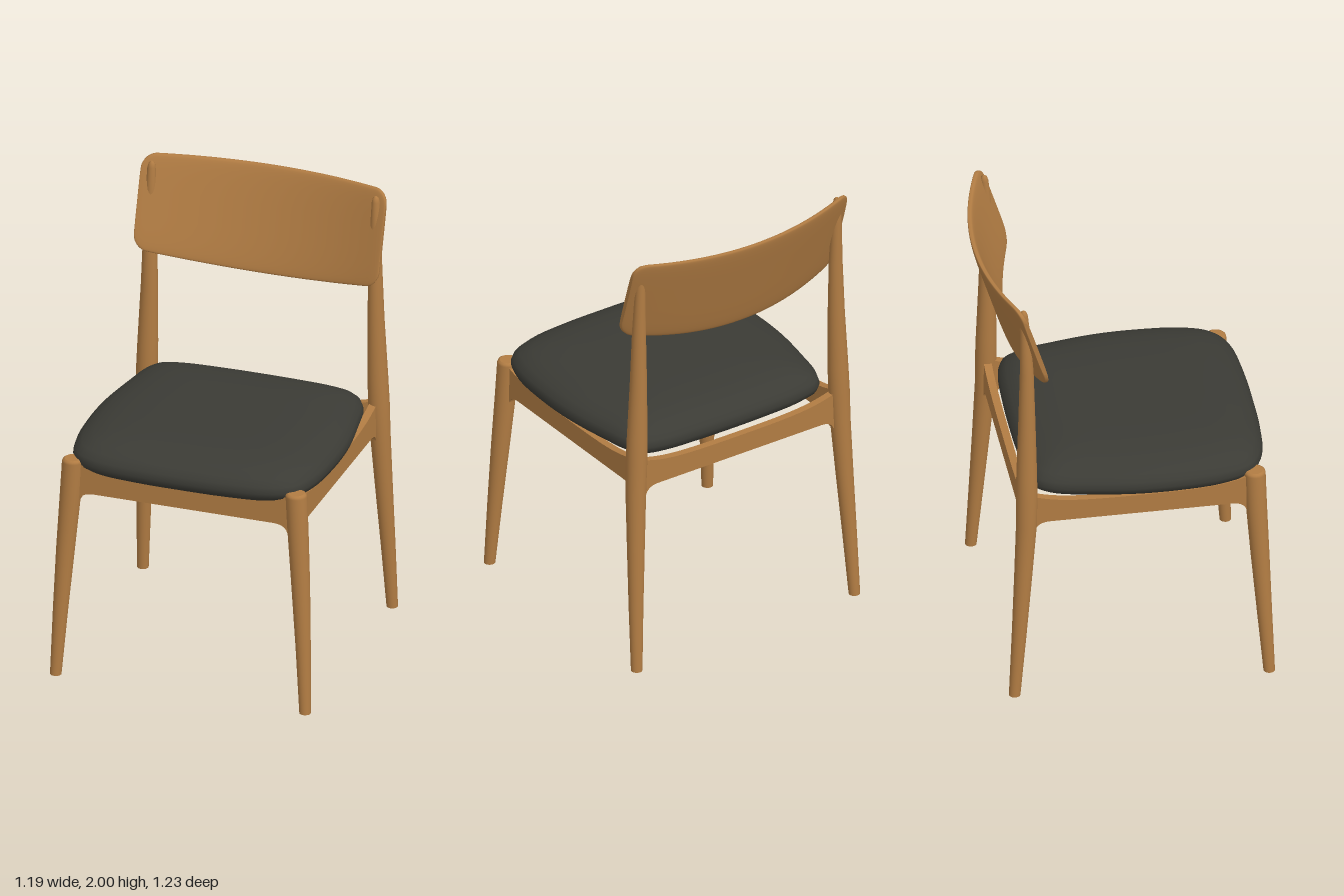
import * as THREE from 'three';

// Skin a list of closed rings (arrays of Vector3) and cap both ends.
function loft(rings) {
  const n = rings[0].length, pos = [], idx = [];
  rings.forEach(r => r.forEach(p => pos.push(p.x, p.y, p.z)));
  for (let i = 0; i < rings.length - 1; i++) {
    for (let j = 0; j < n; j++) {
      const k = (j + 1) % n, a = i * n + j, b = a + n, c = i * n + k, d = c + n;
      idx.push(a, b, c, c, b, d);
    }
  }
  [rings[0], rings[rings.length - 1]].forEach((ring, end) => {
    const base = pos.length / 3;
    const mid = ring.reduce((s, p) => s.add(p), new THREE.Vector3()).divideScalar(n);
    [mid, ...ring].forEach(p => pos.push(p.x, p.y, p.z));
    for (let j = 0; j < n; j++) {
      const p = base + 1 + j, q = base + 1 + (j + 1) % n;
      if (end) idx.push(base, q, p); else idx.push(base, p, q);
    }
  });
  const g = new THREE.BufferGeometry();
  g.setAttribute('position', new THREE.Float32BufferAttribute(pos, 3));
  g.setIndex(idx);
  g.computeVertexNormals();
  return g;
}

// Round tapered leg through stations [x, y, z, radius].
function legGeometry(stations, side) {
  return loft(stations.map(([x, y, z, r]) => Array.from({ length: 24 }, (_, j) => {
    const t = j / 24 * Math.PI * 2;
    return new THREE.Vector3(side * x + r * Math.cos(t), y, z + r * Math.sin(t));
  })));
}

// Rail with a dished top edge and flared lower corners, running along x.
function railGeometry(length, depth) {
  const h = length / 2, f = h - 0.1, s = new THREE.Shape();
  s.moveTo(-h, 0.83);
  s.lineTo(-h + 0.04, 0.83);
  s.quadraticCurveTo(-h + 0.05, 0.865, -f, 0.867);
  s.lineTo(f, 0.867);
  s.quadraticCurveTo(h - 0.05, 0.865, h - 0.04, 0.83);
  s.lineTo(h, 0.83);
  s.lineTo(h, 1.0);
  s.lineTo(h - 0.04, 1.0);
  s.bezierCurveTo(h - 0.15, 0.965, h - 0.25, 0.96, 0, 0.96);
  s.bezierCurveTo(-h + 0.25, 0.96, -h + 0.15, 0.965, -h + 0.04, 1.0);
  s.lineTo(-h, 1.0);
  const g = new THREE.ExtrudeGeometry(s, { depth, bevelEnabled: false, curveSegments: 10 });
  return g.translate(0, 0, -depth / 2);
}

// Curved, leaning panel with rounded corners, built in sections along x.
function backrestGeometry() {
  const xs = [];
  for (let i = 0; i <= 24; i++) xs.push([-0.5 + i / 24, 0]);
  for (let i = 1; i <= 8; i++) {
    const a = i / 8 * Math.PI / 2, x = 0.5 + 0.06 * Math.sin(a), cut = 0.06 * (1 - Math.cos(a));
    xs.push([x, cut]);
    xs.unshift([-x, cut]);
  }
  const soft = (v, e) => Math.sign(v) * Math.pow(Math.abs(v), e);
  return loft(xs.map(([x, cut]) => {
    const u = (x / 0.56) ** 2;
    const top = 1.98 + 0.021 * u - cut, bottom = 1.53 + 0.07 * u + cut;
    const half = 0.016 - cut * 0.1;
    return Array.from({ length: 40 }, (_, j) => {
      const t = (j + 0.5) / 40 * Math.PI * 2;
      const y = (top + bottom) / 2 + (top - bottom) / 2 * soft(Math.cos(t), 0.5);
      const z = -0.466 - 0.31 * (y - 1.53) + 0.12 * u - half * soft(Math.sin(t), 0.4);
      return new THREE.Vector3(x, y, z);
    });
  }));
}

// Padded seat: rounded outline scaled through a soft edge profile.
function seatGeometry() {
  const rightSide = [[0.2, 0.61], [0.4, 0.585], [0.5, 0.53], [0.55, 0.41], [0.57, 0.2], [0.565, 0],
    [0.535, -0.2], [0.505, -0.34], [0.46, -0.41], [0.36, -0.44], [0.18, -0.452]];
  const outline = [[0, 0.614], ...rightSide, [0, -0.455],
    ...rightSide.slice().reverse().map(([x, z]) => [-x, z])];
  const curve = new THREE.CatmullRomCurve3(
    outline.map(([x, z]) => new THREE.Vector3(x, 0, z)), true);
  const points = curve.getPoints(96).slice(0, 96).reverse();
  const profile = [[0.02, 0.955], [0.5, 0.955], [0.78, 0.955], [0.88, 0.959], [0.95, 0.972],
    [0.985, 0.99], [1, 1.015], [0.985, 1.042], [0.94, 1.068], [0.86, 1.09], [0.75, 1.106],
    [0.6, 1.115], [0.4, 1.119], [0.2, 1.12], [0.02, 1.12]];
  return loft(profile.map(([s, y]) => points.map(p =>
    new THREE.Vector3(p.x * s, y, 0.08 + (p.z - 0.08) * s))));
}

export function createModel() {
  const model = new THREE.Group();
  const wood = new THREE.MeshStandardMaterial({ color: 0xb17c43 });
  wood.name = 'warm wood';
  const fabric = new THREE.MeshStandardMaterial({ color: 0x3b3b35 });
  fabric.name = 'charcoal upholstery';
  const add = (name, geometry, material) => {
    const mesh = new THREE.Mesh(geometry, material);
    mesh.name = name;
    model.add(mesh);
    return mesh;
  };

  // Legs: the back pair continues upward as posts
  const front = [[0.57, 0, 0.588, 0.025], [0.555, 0.3, 0.57, 0.033], [0.537, 0.6, 0.553, 0.041],
    [0.52, 0.85, 0.54, 0.046], [0.511, 1.005, 0.535, 0.047], [0.51, 1.015, 0.535, 0.044],
    [0.51, 1.02, 0.535, 0.036]];
  const back = [[0.57, 0, -0.523, 0.025], [0.559, 0.3, -0.502, 0.032], [0.546, 0.6, -0.482, 0.039],
    [0.535, 0.86, -0.466, 0.045], [0.53, 1, -0.464, 0.047], [0.526, 1.12, -0.463, 0.045],
    [0.518, 1.4, -0.461, 0.037], [0.515, 1.65, -0.461, 0.03], [0.514, 1.85, -0.468, 0.023],
    [0.513, 1.95, -0.474, 0.018], [0.512, 1.968, -0.475, 0.013], [0.512, 1.975, -0.475, 0.005]];
  for (const [side, label] of [[1, 'left'], [-1, 'right']]) {
    add(label + 'FrontLeg', legGeometry(front, side), wood);
    add(label + 'BackLeg', legGeometry(back, side), wood);
    const rail = add(label + 'SideRail', railGeometry(1.0, 0.034), wood);
    rail.rotation.y = Math.PI / 2;
    rail.position.set(side * 0.515, 0, 0.035);
  }

  // Front and back rails
  add('frontRail', railGeometry(1.03, 0.034), wood).position.z = 0.535;
  add('backRail', railGeometry(1.06, 0.034), wood).position.z = -0.463;

  add('backrest', backrestGeometry(), wood);
  add('seatCushion', seatGeometry(), fabric);
  return model;
}
